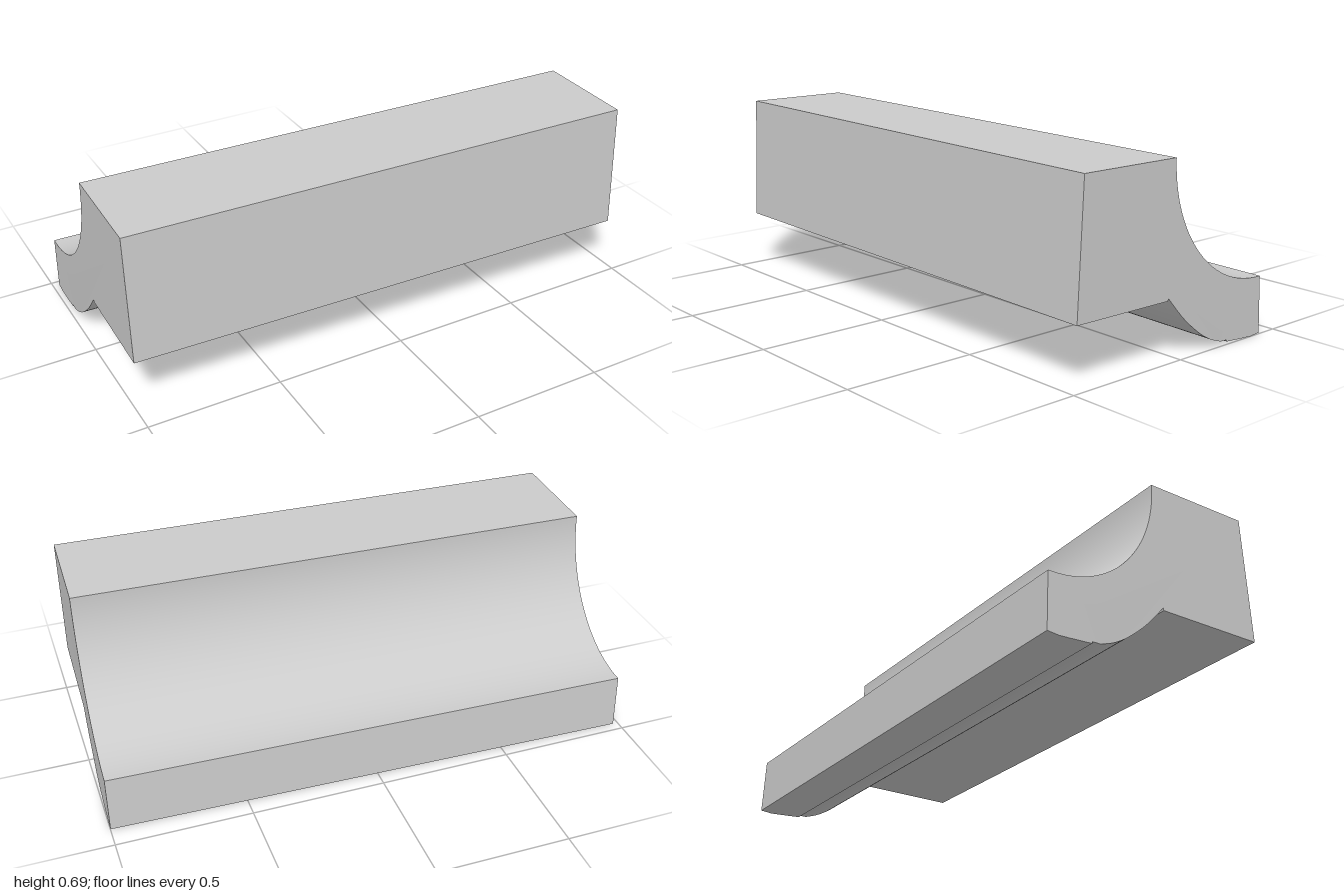
import * as THREE from 'three';
import { toCreasedNormals } from 'three/addons/utils/BufferGeometryUtils.js';

// Cove moulding: one cross-section swept along its length.
export function createModel() {
  const group = new THREE.Group();
  group.name = 'coveMoulding';
  const length = 1.978;
  const yaw = 0.0254; // slight turn of the whole strip

  // Cross-section: x runs towards the back, y up
  const s = new THREE.Shape();
  s.moveTo(-0.422, 0.69);
  s.lineTo(-0.443, 0.213); // front face, slightly drafted
  s.lineTo(-0.034, 0.213); // underside of the block
  s.lineTo(-0.032, 0.222); // small notch where the curve starts
  s.splineThru([ // rounded underside
    [0.045, 0.138], [0.125, 0.071], [0.185, 0.035], [0.24, 0.015],
  ].map(([x, y]) => new THREE.Vector2(x, y)));
  s.lineTo(0.27, 0.015); // shallow step
  s.lineTo(0.272, 0.008);
  s.lineTo(0.36, 0.002);
  s.lineTo(0.4, 0);
  s.lineTo(0.444, 0.004);
  s.lineTo(0.435, 0.215); // back face
  s.lineTo(0.42, 0.215); // lip
  // Concave cove up to the top edge
  s.absellipse(0.42, 0.69, 0.435, 0.475, -Math.PI / 2, -Math.PI, true);
  s.closePath();

  const geo = new THREE.ExtrudeGeometry(s, {
    depth: length, bevelEnabled: false, curveSegments: 32,
  });
  geo.translate(0, 0, -length / 2);
  geo.rotateY(Math.PI / 2 - yaw);

  const strip = new THREE.Mesh(
    toCreasedNormals(geo, 0.3),
    new THREE.MeshStandardMaterial({ color: 0xcccccc }),
  );
  strip.name = 'mouldingStrip';
  group.add(strip);
  return group;
}
